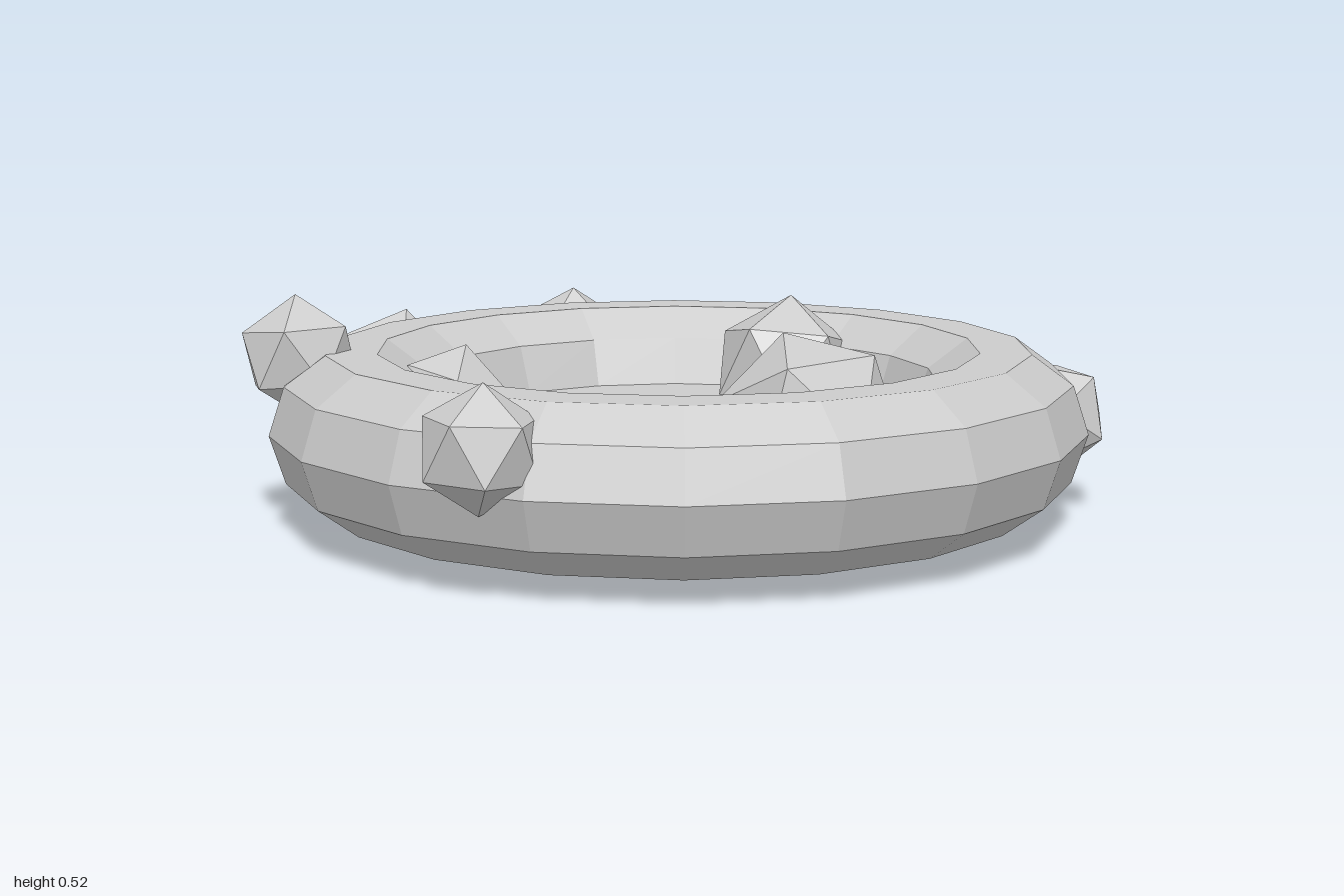
import * as THREE from 'three';

const material = new THREE.MeshStandardMaterial({ color: 0xcccccc, flatShading: true });
const thinMaterial = new THREE.MeshStandardMaterial({ color: 0xcccccc, flatShading: true, side: THREE.DoubleSide });

// Right-handed basis whose x axis follows a, with b in the xy plane
function basis(a, b) {
  const x = a.clone().normalize();
  const z = new THREE.Vector3().crossVectors(x, b).normalize();
  return new THREE.Matrix4().makeBasis(x, new THREE.Vector3().crossVectors(z, x), z);
}

// Faceted rock: one corner points along a, a neighbouring corner roughly along b
function rock(name, position, radius, a, b) {
  const t = (1 + Math.sqrt(5)) / 2;
  const from = basis(new THREE.Vector3(-1, t, 0), new THREE.Vector3(1, t, 0));
  const to = basis(new THREE.Vector3(...a), new THREE.Vector3(...b));
  const geometry = new THREE.IcosahedronGeometry(radius, 0);
  geometry.applyMatrix4(to.multiply(from.transpose()));
  const mesh = new THREE.Mesh(geometry, material);
  mesh.name = name;
  mesh.position.set(...position);
  return mesh;
}

export function createModel() {
  const model = new THREE.Group();
  model.name = 'rockRimmedPool';

  // Ten-sided ring with a flat floor across its inner waist
  const basin = new THREE.Group();
  basin.name = 'basin';
  basin.position.set(-0.015, 0.23, 0.085);

  const rim = new THREE.Mesh(new THREE.TorusGeometry(0.739, 0.186, 10, 18).rotateX(Math.PI / 2), material);
  rim.name = 'rim';
  const floor = new THREE.Mesh(new THREE.CircleGeometry(0.56, 18).rotateX(-Math.PI / 2), thinMaterial);
  floor.name = 'floor';
  basin.add(rim, floor);
  model.add(basin);

  // Rocks around the rim and inside the basin
  const rocks = [
    ['largeRimRock', [-0.38, 0.215, -0.71], 0.215, [0.05, 0.21, 0.02], [0.19, 0.1, -0.1]],
    ['backRimRock', [0.23, 0.285, -0.875], 0.137, [0, 1, 0.1], [0.3, 0.45, -0.9]],
    ['rightBackRimRock', [-0.77, 0.39, -0.315], 0.14, [-0.02, 1, -0.1], [0, 0.45, -0.9]],
    ['rightFrontRimRock', [-0.765, 0.32, 0.58], 0.135, [0.05, 1, 0], [-0.7, 0.45, -0.6]],
    ['leftRimRock', [0.8, 0.225, 0.415], 0.138, [0.97, 0, 0.05], [0.4, 0.8, -0.5]],
    ['smallInnerRock', [-0.455, 0.275, -0.19], 0.137, [0.25, 0.9, 0.05], [-0.05, 0.4, -0.9]],
    ['leftInnerRock', [0.44, 0.285, -0.17], 0.18, [0.03, 0.17, -0.02], [-0.09, 0.1, -0.14]],
    ['frontInnerRock', [0.06, 0.285, 0.51], 0.21, [-0.01, 0.19, -0.09], [0.1, 0.15, 0.1]],
  ];
  for (const args of rocks) model.add(rock(...args));

  return model;
}
